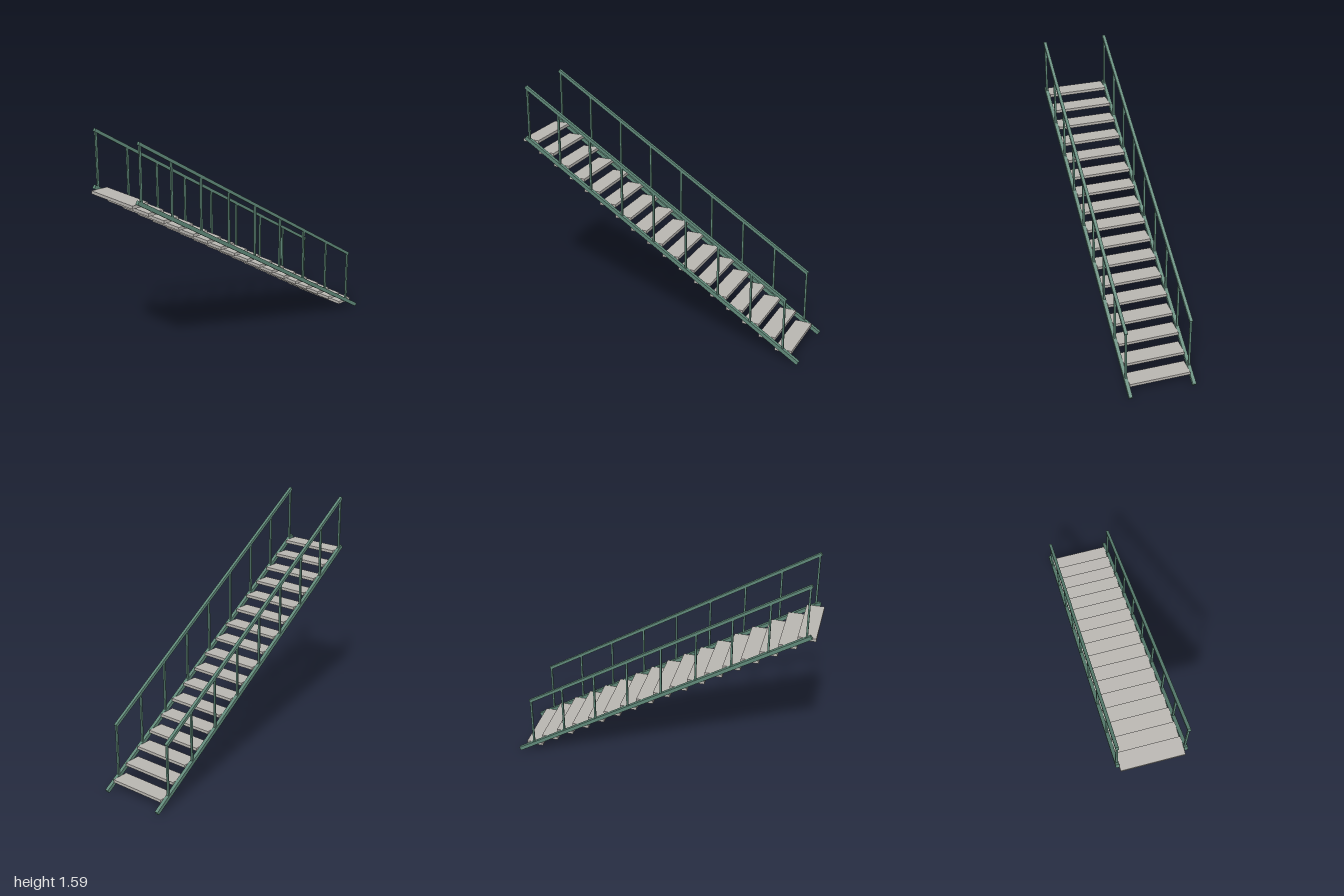
import * as THREE from 'three';

const green = new THREE.MeshStandardMaterial({ color: 0x5f8878 });
green.name = 'green painted steel';
const grey = new THREE.MeshStandardMaterial({ color: 0xb8b5b0 });
grey.name = 'pale grey tread';

const TREADS = 17, RUN = 0.1143, RISE = 0.0714;
const BOTTOM_Z = -0.886, BOTTOM_Y = 0.0665;
const SIDE_X = 0.211, RAIL_LIFT = 0.362;

// Height of the stringer's centre line at a given z
const stringerY = (z) => 0.0106 + (z + 0.993) * 0.6237;

function box(name, material, w, h, d, x, y, z) {
  const mesh = new THREE.Mesh(new THREE.BoxGeometry(w, h, d), material);
  mesh.name = name;
  mesh.position.set(x, y, z);
  return mesh;
}

// Square bar following the slope of the stairs between two z values
function slopedBar(name, width, thick, x, z0, z1, lift) {
  const y0 = stringerY(z0) + lift, y1 = stringerY(z1) + lift;
  const bar = box(name, green, width, thick, Math.hypot(z1 - z0, y1 - y0),
    x, (y0 + y1) / 2, (z0 + z1) / 2);
  bar.rotation.x = -Math.atan2(y1 - y0, z1 - z0);
  return bar;
}

export function createModel() {
  const model = new THREE.Group();
  model.name = 'staircase';

  // Treads climbing towards the front
  const treads = new THREE.Group();
  treads.name = 'treads';
  for (let i = 0; i < TREADS; i++) {
    treads.add(box('tread', grey, 0.4, 0.02, RUN,
      0, BOTTOM_Y + i * RISE, BOTTOM_Z + i * RUN));
  }
  model.add(treads);

  // Stringer, handrail and posts on each side
  for (const side of [-1, 1]) {
    const railing = new THREE.Group();
    railing.name = side > 0 ? 'leftRailing' : 'rightRailing';
    const x = side * SIDE_X;
    railing.add(slopedBar('stringer', 0.023, 0.025, x, -0.993, 0.971, 0));
    railing.add(slopedBar('handrail', 0.02, 0.02, x, -0.893, 0.952, RAIL_LIFT));
    for (let i = 0; i < TREADS; i += 2) {
      const z = BOTTOM_Z + i * RUN;
      railing.add(box('post', green, 0.013, RAIL_LIFT, 0.012,
        x, stringerY(z) + RAIL_LIFT / 2, z));
    }
    model.add(railing);
  }
  return model;
}
